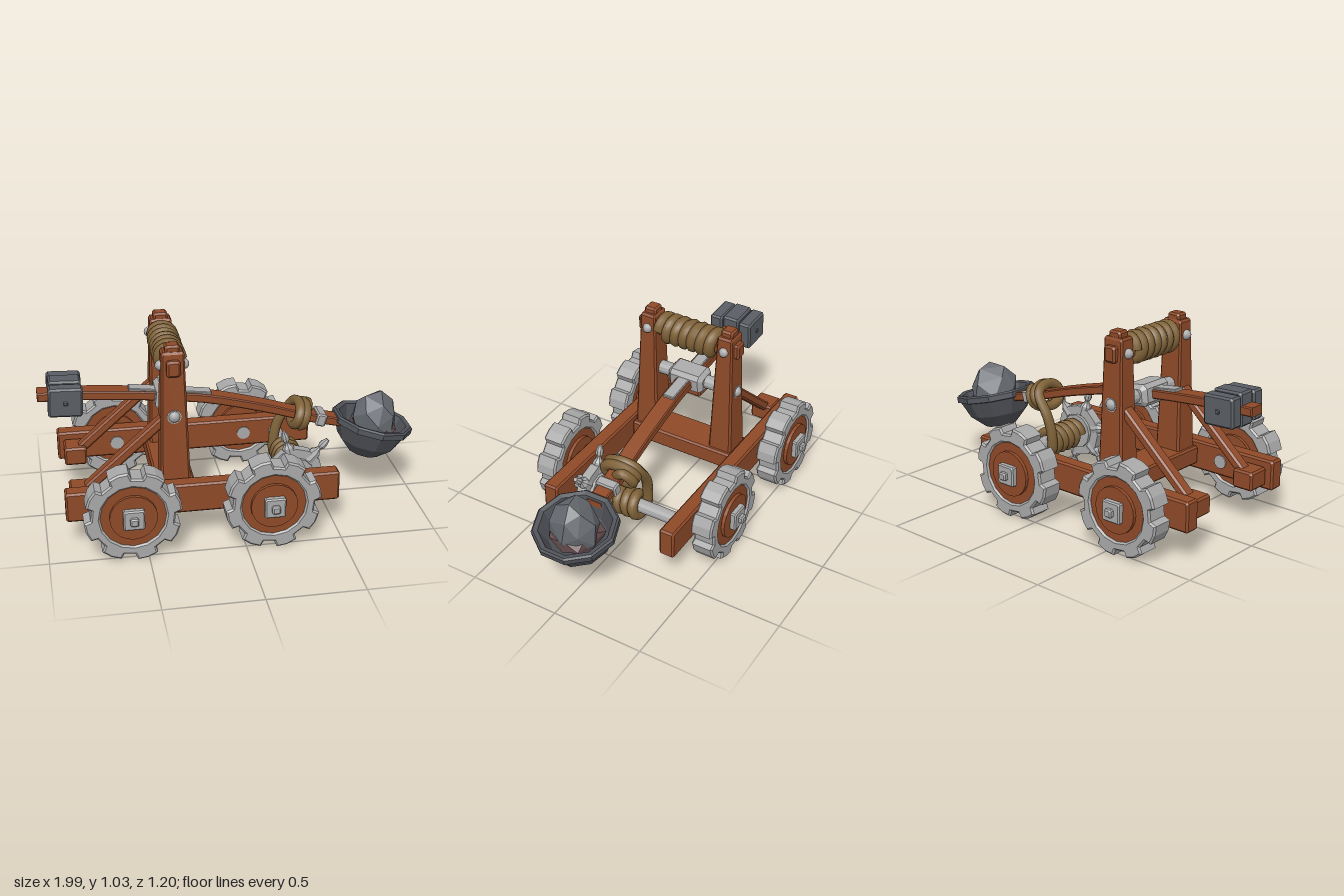
import * as THREE from 'three';
import { ConvexGeometry } from 'three/addons/geometries/ConvexGeometry.js';

const mat = (name, color, side = THREE.FrontSide) => {
  const m = new THREE.MeshStandardMaterial({ color, side });
  m.name = name;
  return m;
};
const V = (x, y, z) => new THREE.Vector3(x, y, z);

export function createModel() {
  const wood = mat('wood', 0x8f4a28);
  const metal = mat('metal', 0xa9a9a9);
  const iron = mat('dark iron', 0x5a5e64);
  const bowlMat = mat('bowl iron', 0x505359, THREE.DoubleSide);
  const stone = mat('stone', 0x666a70);
  const redStone = mat('reddish stone', 0x644b4d);
  const rope = mat('rope', 0x7f6238);
  const model = new THREE.Group();
  model.name = 'catapult';

  // Adds a named mesh, faceted unless smooth
  function add(parent, name, geo, material, x = 0, y = 0, z = 0, smooth = false) {
    if (!smooth) {
      if (geo.index) geo = geo.toNonIndexed();
      geo.computeVertexNormals();
    }
    const m = new THREE.Mesh(geo, material);
    m.name = name;
    m.position.set(x, y, z);
    parent.add(m);
    return m;
  }
  // Extrudes a shape along z, centred, with a one-step chamfer
  function slab(shape, depth, b) {
    const g = new THREE.ExtrudeGeometry(shape, {
      depth: depth - 2 * b, bevelEnabled: b > 0, bevelSize: b, bevelThickness: b,
      bevelOffset: -b, bevelSegments: 1, curveSegments: 8,
    });
    return g.translate(0, 0, -depth / 2 + b);
  }
  // Box with chamfered edges
  function block(w, h, d, b = 0.01) {
    const s = new THREE.Shape();
    const x = w / 2, y = h / 2;
    s.moveTo(-x + b, -y).lineTo(x - b, -y).lineTo(x, -y + b).lineTo(x, y - b)
      .lineTo(x - b, y).lineTo(-x + b, y).lineTo(-x, y - b).lineTo(-x, -y + b);
    return slab(s, d, b);
  }
  const rod = (r, len, n = 12) => new THREE.CylinderGeometry(r, r, len, n).rotateX(Math.PI / 2);
  const tube = (pts, r, steps) =>
    new THREE.TubeGeometry(new THREE.CatmullRomCurve3(pts), steps, r, 8);

  // Chassis
  for (const s of [1, -1]) {
    add(model, 'sideRail', block(1.41, 0.16, 0.085), wood, -0.195, 0.25, s * 0.353);
    add(model, 'braceFoot', block(0.12, 0.1, 0.13), wood, -0.81, 0.25, s * 0.235);
    add(model, 'brace', block(0.6, 0.05, 0.065), wood, -0.585, 0.45, s * 0.232)
      .rotation.z = Math.atan2(0.4, 0.45);
  }
  add(model, 'crossBeam', block(0.2, 0.1, 0.62), wood, -0.33, 0.255, 0);

  // Toothed wheels
  const gearShape = new THREE.Shape();
  for (let i = 0; i < 8; i++) {
    [[-15, 0.212], [-12, 0.246], [0, 0.248], [13, 0.244], [15, 0.212]].forEach(([a, r], j) => {
      const t = THREE.MathUtils.degToRad(i * 45 + 16 + a);
      const p = [r * Math.cos(t), r * Math.sin(t)];
      if (i + j === 0) gearShape.moveTo(...p); else gearShape.lineTo(...p);
    });
  }
  gearShape.closePath();
  const hole = new THREE.Path();
  hole.absarc(0, 0, 0.166, 0, Math.PI * 2, true);
  gearShape.holes.push(hole);
  for (const x of [-0.575, 0.135]) for (const s of [1, -1]) {
    const wheel = new THREE.Group();
    wheel.name = 'wheel';
    wheel.position.set(x, 0.25, s * 0.478);
    if (s < 0) wheel.scale.z = -1;
    model.add(wheel);
    add(wheel, 'wheelRim', slab(gearShape, 0.12, 0.009), metal);
    add(wheel, 'wheelDisc', rod(0.167, 0.1, 24), wood);
    add(wheel, 'wheelBoss', rod(0.12, 0.136, 20), wood);
    add(wheel, 'hubPlate', block(0.107, 0.107, 0.04, 0.007), metal, 0, 0, 0.078);
    add(wheel, 'hubNut', block(0.042, 0.042, 0.03, 0.007), metal, 0, 0, 0.107);
    add(wheel, 'stubAxle', rod(0.037, 0.14), metal, 0, 0, -0.105);
  }

  // Tapered towers with cap, peg ends and studs
  for (const s of [1, -1]) {
    const g = block(0.16, 0.8, 0.145, 0.012);
    const p = g.attributes.position;
    for (let i = 0; i < p.count; i++) {
      const t = p.getY(i) / 0.8 + 0.5;
      p.setX(i, p.getX(i) * (1 - 0.28 * t));
      p.setZ(i, p.getZ(i) * (1 - 0.4 * t));
    }
    add(model, 'towerPost', g, wood, -0.33, 0.605, s * 0.232);
    add(model, 'towerCap', block(0.075, 0.05, 0.07), wood, -0.33, 1.011, s * 0.231);
    for (const d of [1, -1])
      add(model, 'towerStud', new THREE.SphereGeometry(0.027, 10, 8), metal,
        -0.33 + d * 0.06, 0.925, s * 0.231, true);
    add(model, 'pivotStud', new THREE.SphereGeometry(0.032, 10, 8), metal,
      -0.33, 0.663, s * 0.28, true);
  }
  add(model, 'topBar', block(0.07, 0.085, 0.61), wood, -0.33, 0.924, 0);
  add(model, 'pivotAxle', rod(0.037, 0.58), metal, -0.33, 0.663, 0);

  // Rope wound on the top bar
  const coil = [];
  for (let i = 0; i <= 78; i++) {
    const a = (i / 12) * Math.PI * 2;
    coil.push(V(-0.33 + 0.053 * Math.cos(a), 0.925 + 0.055 * Math.sin(a),
      0.165 - 0.33 * i / 78));
  }
  add(model, 'topRope', tube(coil, 0.033, 180), rope, 0, 0, 0, true);

  // Curved throwing arm
  const armLine = new THREE.SplineCurve([[-1, 0.71], [-0.75, 0.702], [-0.5, 0.682], [-0.3, 0.66],
    [-0.1, 0.63], [0.18, 0.558], [0.43, 0.48], [0.62, 0.435]].map(q => new THREE.Vector2(...q)));
  const mid = armLine.getPoints(20);
  const arm = new THREE.Shape([
    ...mid.map(q => new THREE.Vector2(q.x, q.y - 0.024)),
    ...mid.reverse().map(q => new THREE.Vector2(q.x, q.y + 0.024)),
  ]);
  add(model, 'throwingArm', slab(arm, 0.092, 0.006), wood);
  add(model, 'armPlate', block(0.435, 0.022, 0.066, 0.004), metal, -0.315, 0.684, 0)
    .rotation.z = -0.127;
  add(model, 'pivotSleeve', block(0.135, 0.115, 0.21, 0.022), metal, -0.33, 0.663, 0)
    .rotation.z = -0.127;
  add(model, 'armBand', block(0.055, 0.07, 0.12, 0.008), metal, 0.49, 0.466, 0)
    .rotation.z = -0.28;

  // Counterweight of three blocks
  const weight = new THREE.Group();
  weight.name = 'counterweight';
  weight.position.set(-0.86, 0.705, 0);
  weight.rotation.z = -0.04;
  model.add(weight);
  add(weight, 'middleWeight', block(0.165, 0.175, 0.1), iron);
  for (const s of [1, -1]) {
    add(weight, 'sideWeight', block(0.175, 0.155, 0.075), iron, 0, 0, s * 0.089);
    add(weight, 'weightPin', block(0.022, 0.022, 0.01, 0.003), iron, 0, 0, s * 0.127);
  }

  // Bowl
  const profile = [[0, -0.195], [0.09, -0.18], [0.165, -0.11], [0.205, -0.02], [0.222, -0.015],
    [0.222, 0.015], [0.212, 0.024], [0.188, 0.018], [0.15, -0.085], [0.08, -0.145], [0, -0.155]]
    .map(q => new THREE.Vector2(...q));
  add(model, 'bowl', new THREE.LatheGeometry(profile, 10), bowlMat, 0.785, 0.415, 0)
    .rotation.z = -0.23;

  // Faceted stones
  function rock(name, n, rx, ry, rz, seed, material, x, y) {
    const rnd = () => (seed = (seed * 16807) % 2147483647) / 2147483647;
    const pts = [];
    for (let i = 0; i < n; i++) {
      const h = 1 - 2 * (i + 0.5) / n, a = i * 2.4 + rnd() * 0.6, r = Math.sqrt(1 - h * h);
      const k = 0.97 + 0.12 * rnd();
      pts.push(V(rx * r * Math.cos(a) * k, ry * h * k, rz * r * Math.sin(a) * k));
    }
    add(model, name, new ConvexGeometry(pts), material, x, y, 0);
  }
  rock('largeStone', 24, 0.122, 0.16, 0.135, 4711, stone, 0.795, 0.428);
  rock('lowerStone', 18, 0.14, 0.075, 0.148, 917, redStone, 0.785, 0.385);

  // Winch axle and spoked capstan wheel
  add(model, 'winchAxle', rod(0.037, 0.64), metal, 0.315, 0.25, 0);
  const winch = new THREE.Group();
  winch.name = 'winchWheel';
  winch.position.set(0.315, 0.25, 0.203);
  model.add(winch);
  add(winch, 'winchDisc', rod(0.145, 0.05, 12), metal);
  add(winch, 'winchHub', rod(0.095, 0.084, 12), metal);
  const spoke = [[0, 0.1], [0.034, 0.1], [0.03, 0.155], [0.016, 0.172], [0.012, 0.185],
    [0.021, 0.2], [0.021, 0.22], [0.011, 0.247], [0, 0.247]].map(q => new THREE.Vector2(...q));
  for (let i = 0; i < 6; i++)
    add(winch, 'winchHandle', new THREE.LatheGeometry(spoke, 8), metal)
      .rotation.z = (15 + i * 60) * Math.PI / 180;

  // Winch rope: drum coil, rise to the arm, two turns around it
  const line = [];
  for (let i = 0; i <= 60; i++) {
    const a = Math.PI + (60 - i) / 12 * Math.PI * 2;
    line.push(V(0.315 + 0.056 * Math.cos(a), 0.25 + 0.056 * Math.sin(a), 0.14 - 0.23 * i / 60));
  }
  line.push(V(0.265, 0.34, -0.095), V(0.29, 0.42, -0.1));
  for (let i = 0; i <= 26; i++) {
    const a = Math.PI - i / 12 * Math.PI * 2;
    line.push(V(0.345 + 0.07 * i / 26 + 0.025 * Math.sin(a), 0.502 - 0.02 * i / 26
      + 0.056 * Math.sin(a), 0.088 * Math.cos(a) - 0.008));
  }
  line.push(V(0.42, 0.48, 0));
  add(model, 'winchRope', tube(line, 0.028, 240), rope, 0, 0, 0, true);

  return model;
}
